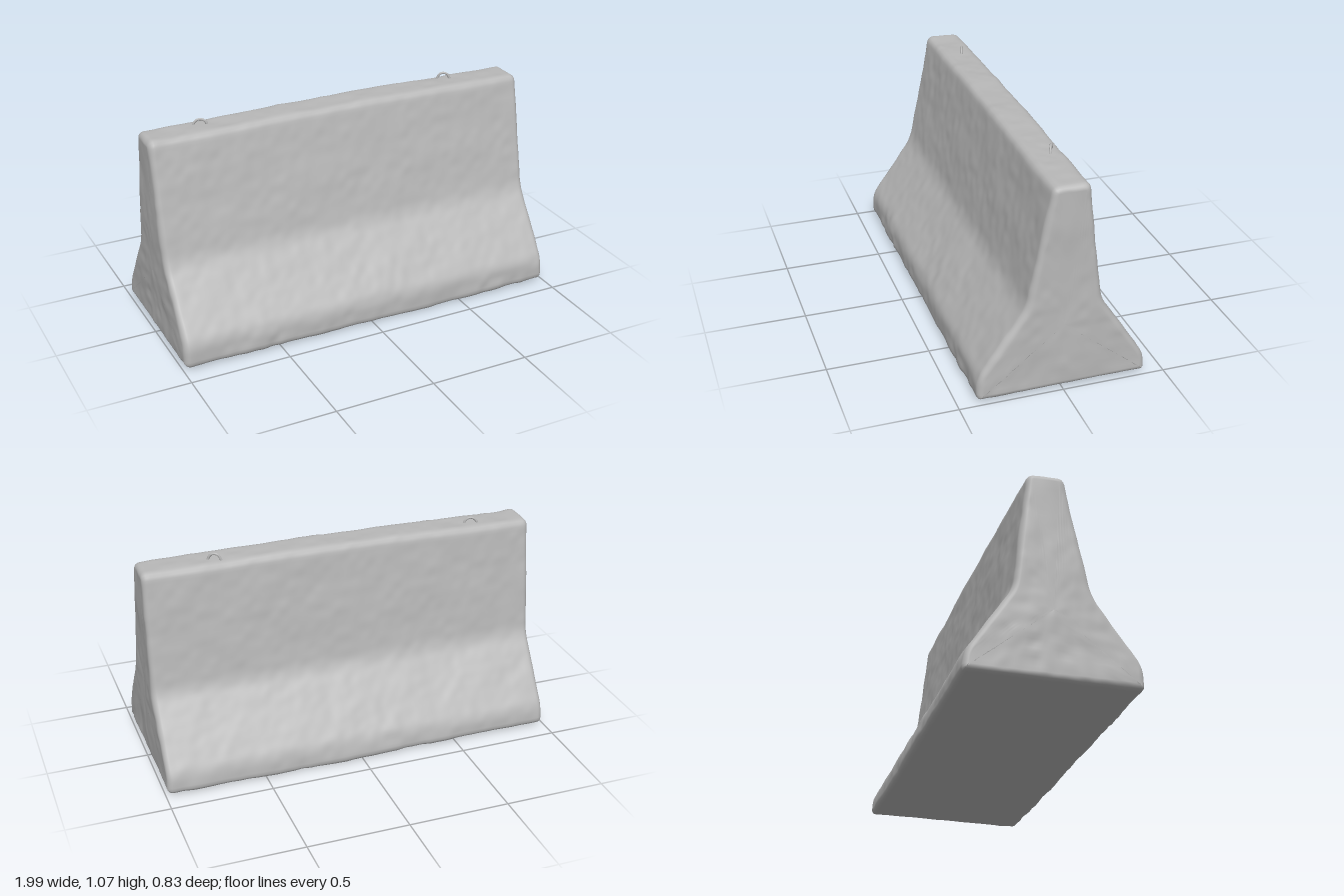
import * as THREE from 'three';

const concrete = new THREE.MeshStandardMaterial({ color: 0xb8b8b8 });
concrete.name = 'concrete grey';

// Smooth value noise in -1..1, used to weather the concrete
function hash(x, y, z) {
  const s = Math.sin(x * 127.1 + y * 311.7 + z * 74.7) * 43758.5453;
  return (s - Math.floor(s)) * 2 - 1;
}
function noise(x, y, z) {
  const ix = Math.floor(x), iy = Math.floor(y), iz = Math.floor(z);
  const ease = t => t * t * (3 - 2 * t);
  const u = ease(x - ix), v = ease(y - iy), w = ease(z - iz);
  const L = THREE.MathUtils.lerp;
  const row = (j, k) => L(hash(ix, iy + j, iz + k), hash(ix + 1, iy + j, iz + k), u);
  return L(L(row(0, 0), row(1, 0), v), L(row(0, 1), row(1, 1), v), w);
}

// Cross-section as (z, y, corner rounding), running up the front and down the back
const CORNERS = [
  [0.41, 0.017, 0.025], [0.406, 0.135, 0.04], [0.18, 0.455, 0.05], [0.062, 1.037, 0.03],
  [-0.113, 1.037, 0.035], [-0.182, 0.44, 0.05], [-0.402, 0.11, 0.04], [-0.41, 0.017, 0.025],
];
function crossSection(count) {
  const shape = new THREE.Shape();
  const pts = CORNERS.map(([z, y]) => new THREE.Vector2(z, y));
  pts.forEach((p, i) => {
    const r = CORNERS[i][2];
    const toward = q => q.clone().sub(p).setLength(r).add(p);
    const a = toward(pts[(i + 7) % 8]), b = toward(pts[(i + 1) % 8]);
    if (i === 0) shape.moveTo(a.x, a.y); else shape.lineTo(a.x, a.y);
    shape.quadraticCurveTo(p.x, p.y, b.x, b.y);
  });
  shape.closePath();
  return shape.getSpacedPoints(count).slice(0, count);
}

// Worn slab: cross-sections lofted along x, with rounded ends and ring caps
function barrierGeometry() {
  const N = 200, R = 0.03, END = 0.992, BODY = 130;
  const section = crossSection(N);
  const normals = section.map((p, j) => {
    const t = section[(j + 1) % N].clone().sub(section[(j + N - 1) % N]).normalize();
    return new THREE.Vector2(t.y, -t.x);
  });

  const end = [];
  for (let k = 0; k < 14; k++) end.push({ x: END, inset: R, scale: k / 14 });
  for (let k = 0; k < 6; k++) {
    const a = (k / 6) * Math.PI / 2;
    end.push({ x: END - R * (1 - Math.cos(a)), inset: R * (1 - Math.sin(a)), scale: 1 });
  }
  const rows = end.map(r => ({ ...r, x: -r.x }));
  for (let k = 0; k <= BODY; k++) {
    rows.push({ x: (END - R) * (2 * k / BODY - 1), inset: 0, scale: 1 });
  }
  rows.push(...end.slice().reverse());

  const pos = [], index = [];
  for (const { x, inset, scale } of rows) {
    section.forEach((p, j) => {
      const n = normals[j];
      let z = (p.x - n.x * inset) * scale;
      let y = 0.35 + (p.y - n.y * inset - 0.35) * scale;
      // Broad dents, fine pitting, and rougher lower slopes
      const low = THREE.MathUtils.smoothstep(0.4 - y, 0, 0.3);
      const patch = Math.max(0, noise(x * 3 + 9, y * 4, z * 4));
      const d = 0.0035 * noise(x * 7, y * 7, z * 7)
        + (0.002 + 0.005 * low * patch) * noise(x * 22, y * 22, z * 22);
      const edge = 1 - inset / R;
      const side = Math.sign(x) * (1 - edge);
      const px = x + side * d;
      z += n.x * d * edge;
      y += n.y * d * edge;
      // Crown along the top and a slight sag underneath
      y += 0.009 * Math.max(0, 1 - (x / 0.65) ** 2) * THREE.MathUtils.smoothstep(y, 0.5, 1);
      y -= 0.011 * Math.exp(-(((x - 0.3) / 0.4) ** 2)) * (1 - THREE.MathUtils.smoothstep(y, 0, 0.15));
      pos.push(px, Math.max(0, y), z);
    });
  }
  for (let i = 0; i < rows.length - 1; i++) {
    for (let j = 0; j < N; j++) {
      const k = (j + 1) % N;
      const a = i * N + j, b = a + N, c = (i + 1) * N + k, e = i * N + k;
      index.push(a, b, c, a, c, e);
    }
  }
  const geo = new THREE.BufferGeometry();
  geo.setAttribute('position', new THREE.Float32BufferAttribute(pos, 3));
  geo.setIndex(index);
  geo.computeVertexNormals();
  return geo;
}

// Bent steel bar forming a lifting eye
function liftingLoop(name, x, z, top, turn) {
  const curve = new THREE.CatmullRomCurve3([
    [-0.038, 1.01], [-0.031, 1.04], [-0.018, top - 0.012], [0, top - 0.006],
    [0.018, top - 0.012], [0.031, 1.04], [0.038, 1.01],
  ].map(([px, py]) => new THREE.Vector3(px, py, 0)));
  const loop = new THREE.Mesh(new THREE.TubeGeometry(curve, 28, 0.006, 8), concrete);
  loop.name = name;
  loop.position.set(x, 0, z);
  loop.rotation.y = turn;
  return loop;
}

export function createModel() {
  const group = new THREE.Group();
  group.name = 'concreteBarrier';
  const slab = new THREE.Mesh(barrierGeometry(), concrete);
  slab.name = 'barrierSlab';
  group.add(
    slab,
    liftingLoop('rightLiftingLoop', -0.7, -0.047, 1.068, -0.3),
    liftingLoop('leftLiftingLoop', 0.627, -0.057, 1.074, -0.45),
  );
  return group;
}
